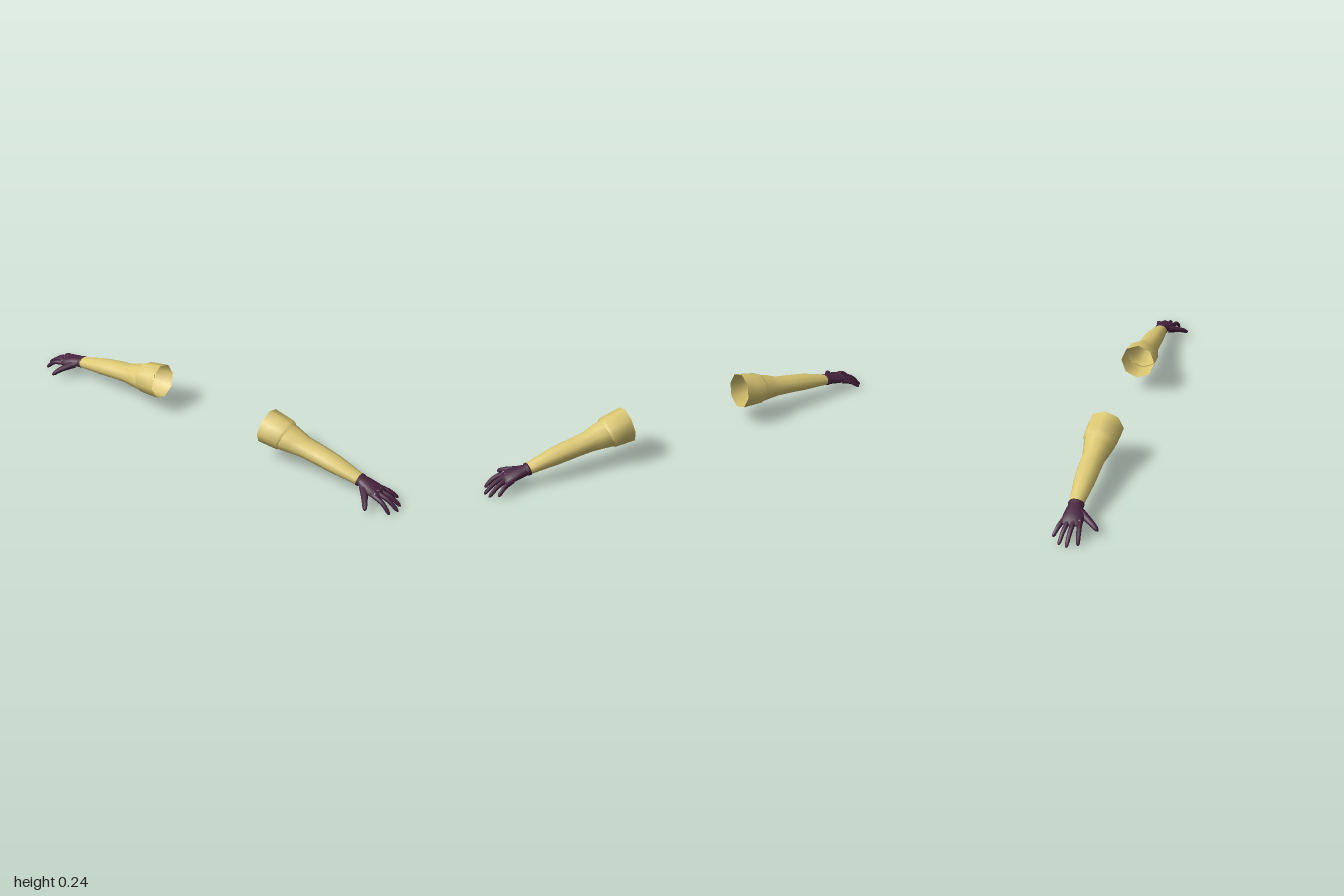
import * as THREE from 'three';

const skin = new THREE.MeshStandardMaterial({ color: 0xdcc873, side: THREE.DoubleSide });
const glove = new THREE.MeshStandardMaterial({ color: 0x47243f });
const metal = new THREE.MeshStandardMaterial({ color: 0xcccccc });

// Skin a tube over rings [x, y, z, half height, half depth]; s = -1 mirrors it in x
function sweep(name, rings, sides, material, s, phase = 0) {
  const centres = rings.map(r => new THREE.Vector3(r[0], r[1], r[2]));
  const pos = [], index = [];
  const last = rings.length - 1;
  rings.forEach((r, i) => {
    const tangent = centres[Math.min(i + 1, last)].clone().sub(centres[Math.max(i - 1, 0)]).normalize();
    const across = tangent.clone().cross(new THREE.Vector3(0, 1, 0)).normalize();
    const up = across.clone().cross(tangent);
    for (let j = 0; j < sides; j++) {
      const t = (j + phase) / sides * Math.PI * 2;
      const p = centres[i].clone()
        .addScaledVector(up, Math.cos(t) * r[3])
        .addScaledVector(across, Math.sin(t) * r[4]);
      pos.push(p.x * s, p.y, p.z);
      if (i === last) continue;
      const a = i * sides + j, b = i * sides + (j + 1) % sides;
      const c = a + sides, d = b + sides;
      if (s > 0) index.push(a, b, c, b, d, c);
      else index.push(a, c, b, b, c, d);
    }
  });
  const geo = new THREE.BufferGeometry();
  geo.setAttribute('position', new THREE.Float32BufferAttribute(pos, 3));
  geo.setIndex(index);
  geo.computeVertexNormals();
  const mesh = new THREE.Mesh(geo, material);
  mesh.name = name;
  return mesh;
}

// Tapered, round-tipped finger along a curve through a few joints
function finger(name, joints, r0, r1, s) {
  const curve = new THREE.CatmullRomCurve3(joints.map(j => new THREE.Vector3(...j)));
  const rings = [0, 0.15, 0.3, 0.45, 0.6, 0.75, 0.87, 0.94, 0.98, 1].map(t => {
    const p = curve.getPointAt(t);
    const tip = t < 0.85 ? 1 : Math.sqrt(Math.max(0.0004, 1 - ((t - 0.85) / 0.15) ** 2));
    const r = THREE.MathUtils.lerp(r0, r1, t) * tip;
    return [p.x, p.y, p.z, r, r];
  });
  return sweep(name, rings, 8, glove, s);
}

// Upper sleeve: faceted, open at the shoulder, with a small lip onto the arm
const sleeveRings = [
  [0.297, 0.164, -0.022, 0.083, 0.082],
  [0.350, 0.157, -0.022, 0.077, 0.081],
  [0.398, 0.151, -0.022, 0.071, 0.079],
  [0.404, 0.149, -0.022, 0.064, 0.073]
];

const armRings = [
  [0.390, 0.148, -0.022, 0.066, 0.075],
  [0.450, 0.139, -0.021, 0.057, 0.063],
  [0.500, 0.130, -0.022, 0.046, 0.053],
  [0.580, 0.120, -0.022, 0.042, 0.051],
  [0.660, 0.107, -0.021, 0.039, 0.047],
  [0.740, 0.092, -0.020, 0.030, 0.038],
  [0.805, 0.078, -0.020, 0.022, 0.030]
];

const palmRings = [
  [0.786, 0.082, -0.020, 0.020, 0.028],
  [0.787, 0.082, -0.020, 0.026, 0.035],
  [0.798, 0.080, -0.020, 0.026, 0.035],
  [0.803, 0.079, -0.020, 0.023, 0.031],
  [0.830, 0.075, -0.016, 0.023, 0.039],
  [0.865, 0.068, -0.011, 0.021, 0.046],
  [0.893, 0.062, -0.010, 0.016, 0.046],
  [0.908, 0.058, -0.010, 0.008, 0.040],
  [0.911, 0.057, -0.010, 0.001, 0.010]
];

// Joints from knuckle to tip
const fingers = {
  indexFinger: [[0.885, 0.064, 0.022], [0.935, 0.050, 0.031], [0.978, 0.010, 0.038]],
  middleFinger: [[0.885, 0.066, -0.002], [0.945, 0.048, -0.004], [0.998, 0.007, -0.006]],
  ringFinger: [[0.885, 0.064, -0.025], [0.940, 0.047, -0.033], [0.990, 0.009, -0.041]],
  littleFinger: [[0.875, 0.062, -0.045], [0.920, 0.050, -0.060], [0.958, 0.022, -0.074]]
};

function buildArm(name, s) {
  const arm = new THREE.Group();
  arm.name = name;
  arm.add(sweep('upperSleeve', sleeveRings, 8, skin, s));
  arm.add(sweep('forearm', armRings, 10, skin, s, 0.5));

  const hand = new THREE.Group();
  hand.name = 'glovedHand';
  hand.add(sweep('palm', palmRings, 14, glove, s));
  for (const [label, joints] of Object.entries(fingers)) {
    hand.add(finger(label, joints, 0.0125, 0.008, s));
    // Knuckle stud
    const [x, y, z] = joints[0];
    const stud = new THREE.Mesh(new THREE.ConeGeometry(0.005, 0.008, 4), metal);
    stud.name = 'knuckleStud';
    stud.position.set((x + 0.008) * s, y + 0.013, z);
    stud.rotation.z = -0.5 * s;
    hand.add(stud);
  }
  hand.add(finger('thumb',
    [[0.825, 0.070, 0.005], [0.853, 0.059, 0.045], [0.872, 0.049, 0.073], [0.890, 0.032, 0.101]],
    0.020, 0.009, s));
  arm.add(hand);
  return arm;
}

export function createModel() {
  const model = new THREE.Group();
  model.name = 'glovedArms';
  model.add(buildArm('leftArm', 1), buildArm('rightArm', -1));
  return model;
}
